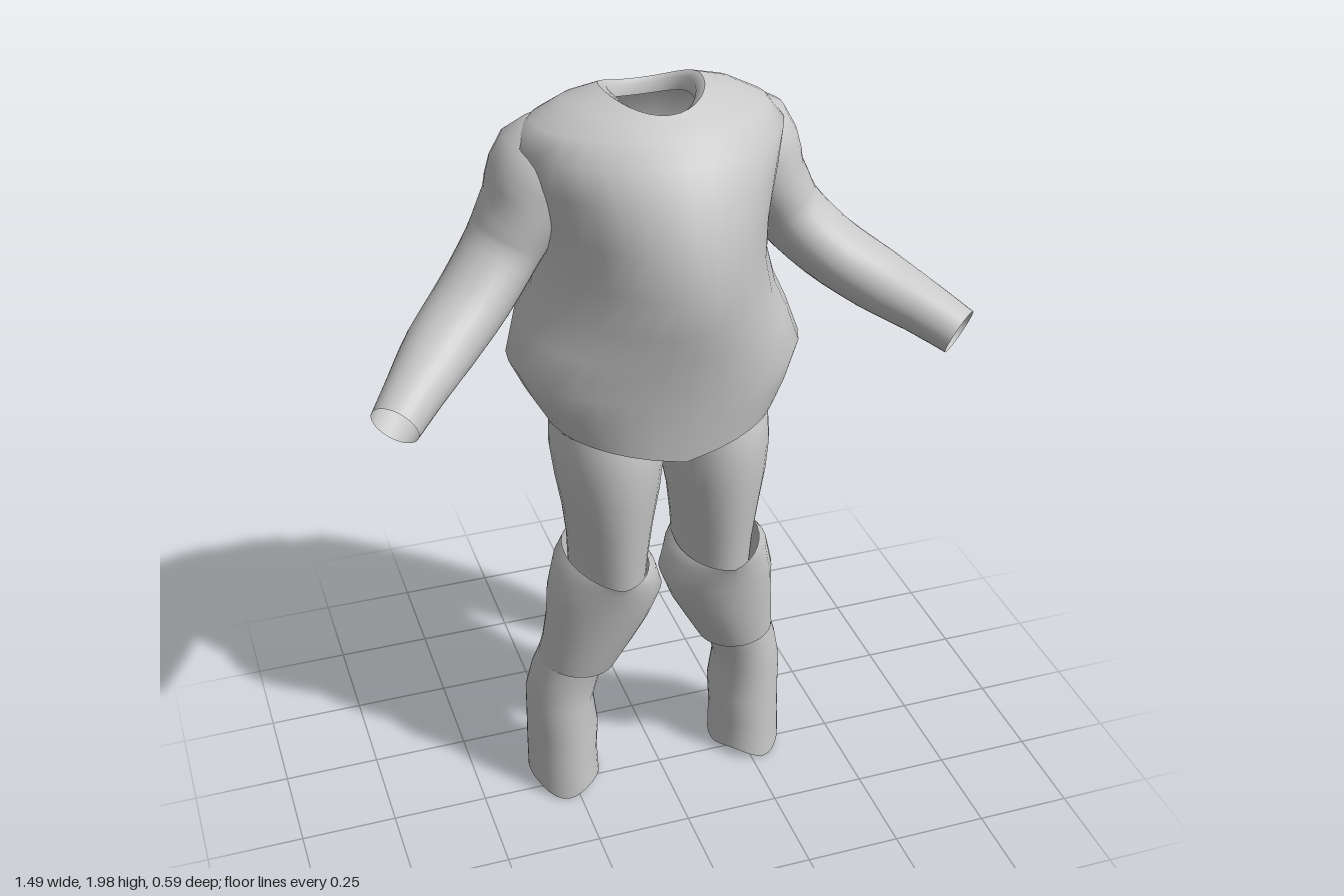
import * as THREE from 'three';

const SEG = 32;
const cloth = new THREE.MeshStandardMaterial({ color: 0xc8c8c8, side: THREE.DoubleSide });
cloth.name = 'light grey cloth';

// Skin a list of closed rings (bottom to top) with smooth normals; flip mirrors across x.
function loft(name, rings, flip = false) {
  const pos = [], idx = [];
  for (const ring of rings) for (const p of ring) pos.push(flip ? -p.x : p.x, p.y, p.z);
  for (let r = 0; r < rings.length - 1; r++) {
    for (let i = 0; i < SEG; i++) {
      const j = (i + 1) % SEG;
      const a = r * SEG + i, b = r * SEG + j, c = a + SEG, d = b + SEG;
      if (flip) idx.push(a, b, c, b, d, c);
      else idx.push(a, c, b, b, c, d);
    }
  }
  const geo = new THREE.BufferGeometry();
  geo.setAttribute('position', new THREE.Float32BufferAttribute(pos, 3));
  geo.setIndex(idx);
  geo.computeVertexNormals();
  const mesh = new THREE.Mesh(geo, cloth);
  mesh.name = name;
  return mesh;
}

const power = (v, e) => Math.sign(v) * Math.abs(v) ** e;

// Horizontal ring: height, centre x, half width, front z, back z, tilt towards x, tilt towards z.
// front and back set how square each half is; spine presses a groove into the back;
// dip lowers the front and back against the sides; ragged makes an uneven edge.
function level([y, cx, hx, zf, zb, tx = 0, tz = 0], { mid = 0.5, front = 1, back = 1, spine = 0, dip = 0, ragged = 0 } = {}) {
  const zc = zb + (zf - zb) * mid;
  return Array.from({ length: SEG }, (_, i) => {
    const a = (i / SEG) * Math.PI * 2, c = Math.cos(a), s = Math.sin(a);
    const e = s < 0 ? back : front;
    const x = power(c, e);
    let z = zc + power(s, e) * (s > 0 ? zf - zc : zc - zb);
    if (s < 0) z += spine * Math.exp(-((hx * x / 0.05) ** 2));
    const lift = tx * c + tz * s * (1 - Math.abs(x)) - dip * s * s + ragged * Math.sin(a * 3 + 1);
    return new THREE.Vector3(cx + hx * x, y + lift, z);
  });
}

// Rings square to a curved path; each size is [thickness, depth] as half widths.
function sleeveRings(points, sizes, steps) {
  const path = new THREE.CatmullRomCurve3(points.map(p => new THREE.Vector3(...p)));
  return Array.from({ length: steps + 1 }, (_, k) => {
    const t = k / steps, f = t * (sizes.length - 1), n = Math.min(Math.floor(f), sizes.length - 2);
    const [ru, rv] = [0, 1].map(q => THREE.MathUtils.lerp(sizes[n][q], sizes[n + 1][q], f - n));
    const centre = path.getPoint(t), dir = path.getTangent(t);
    const v = new THREE.Vector3(0, 0, 1).addScaledVector(dir, -dir.z).normalize();
    const u = dir.clone().cross(v);
    return Array.from({ length: SEG }, (_, i) => {
      const a = (i / SEG) * Math.PI * 2;
      return centre.clone().addScaledVector(u, ru * Math.cos(a)).addScaledVector(v, rv * Math.sin(a));
    });
  });
}

export function createModel() {
  const model = new THREE.Group();
  model.name = 'clothingSet';

  // Jacket body from the dipping hem, over the flared hip, up to the shoulders
  const jacketRows = [
    [1.185, 0, 0.288, 0.208, -0.19, 0, -0.06],
    [1.26, 0, 0.332, 0.22, -0.215, 0, -0.04],
    [1.33, 0, 0.365, 0.235, -0.245, 0, -0.02],
    [1.42, 0, 0.335, 0.258, -0.288],
    [1.5, 0, 0.295, 0.283, -0.268],
    [1.6, 0, 0.268, 0.298, -0.285],
    [1.7, 0, 0.278, 0.285, -0.3],
    [1.8, 0, 0.305, 0.25, -0.288],
    [1.88, 0, 0.325, 0.195, -0.255],
    [1.93, 0, 0.285, 0.145, -0.215],
  ];
  const squareness = [0.8, 0.85, 0.92, 1];
  const jacket = jacketRows.map((r, i) => level(r, {
    mid: 0.4, front: squareness[i] ?? 1.08, back: i < 5 ? 0.8 : 0.95, spine: i > 2 ? 0.015 : 0,
  }));

  // Saddle-shaped neck opening with its edge turned inward
  const neckRows = [
    [[1.972, 0, 0.205, 0.1, -0.185], 0.018],
    [[1.997, 0, 0.122, 0.082, -0.158], 0.03],
    [[1.985, 0, 0.1, 0.07, -0.148], 0.03],
    [[1.95, 0, 0.1, 0.07, -0.146], 0.02],
  ];
  const neck = neckRows.map(([r, dip]) => level(r, { mid: 0.4, back: 0.88, dip }));
  model.add(loft('jacketBody', [...jacket, ...neck.slice(0, 2)]), loft('neckRim', neck.slice(1)));

  // Seat of the trousers
  const seatRows = [
    [1.07, 0, 0.05, 0.07, -0.07],
    [1.1, 0, 0.17, 0.125, -0.125],
    [1.15, 0, 0.266, 0.182, -0.178],
    [1.26, 0, 0.275, 0.185, -0.185],
  ];
  model.add(loft('trouserSeat', seatRows.map(r => level(r, { front: 0.8, back: 0.85 }))));

  const sleevePath = [
    [0.16, 1.845, -0.1], [0.25, 1.795, -0.105], [0.305, 1.705, -0.105], [0.36, 1.612, -0.095],
    [0.445, 1.523, -0.04], [0.545, 1.455, 0.045], [0.628, 1.41, 0.14], [0.698, 1.367, 0.218],
  ];
  const sleeveSizes = [
    [0.105, 0.11], [0.13, 0.135], [0.098, 0.132], [0.088, 0.12],
    [0.084, 0.11], [0.08, 0.095], [0.068, 0.076], [0.06, 0.06],
  ];
  const thighRows = [
    [0.7, 0.142, 0.093, 0.148, -0.148],
    [0.8, 0.141, 0.098, 0.162, -0.148],
    [0.9, 0.141, 0.11, 0.175, -0.15],
    [1.0, 0.14, 0.128, 0.186, -0.165],
    [1.08, 0.139, 0.138, 0.188, -0.178],
    [1.15, 0.138, 0.135, 0.182, -0.178],
    [1.22, 0.13, 0.12, 0.16, -0.16],
  ];
  const kneeRows = [
    [0.425, 0.222, 0.102, 0.082, -0.13, 0.01],
    [0.5, 0.195, 0.12, 0.102, -0.115],
    [0.58, 0.17, 0.137, 0.122, -0.11],
    [0.66, 0.153, 0.15, 0.142, -0.12],
    [0.735, 0.152, 0.13, 0.16, -0.132, 0.01, -0.012],
    [0.765, 0.15, 0.106, 0.17, -0.138, 0.015, -0.018],
  ];
  const shinRows = [
    [0.026, 0.264, 0.094, 0.077, -0.16],
    [0.12, 0.265, 0.092, 0.07, -0.162],
    [0.2, 0.262, 0.094, 0.068, -0.162],
    [0.3, 0.268, 0.088, 0.062, -0.152],
    [0.38, 0.25, 0.09, 0.065, -0.138],
    [0.47, 0.222, 0.09, 0.075, -0.115],
  ];

  // Sleeves and legs, mirrored left and right
  for (const [side, flip] of [['left', false], ['right', true]]) {
    model.add(
      loft(side + 'Sleeve', sleeveRings(sleevePath, sleeveSizes, 21), flip),
      loft(side + 'TrouserLeg', thighRows.map(r => level(r, { back: 0.85 })), flip),
      loft(side + 'KneeCover', kneeRows.map(r => level(r, { back: 0.9 })), flip),
      loft(side + 'ShinCover', shinRows.map((r, i) => level(r, { back: 0.85, ragged: i ? 0 : 0.014 })), flip),
    );
  }
  return model;
}
